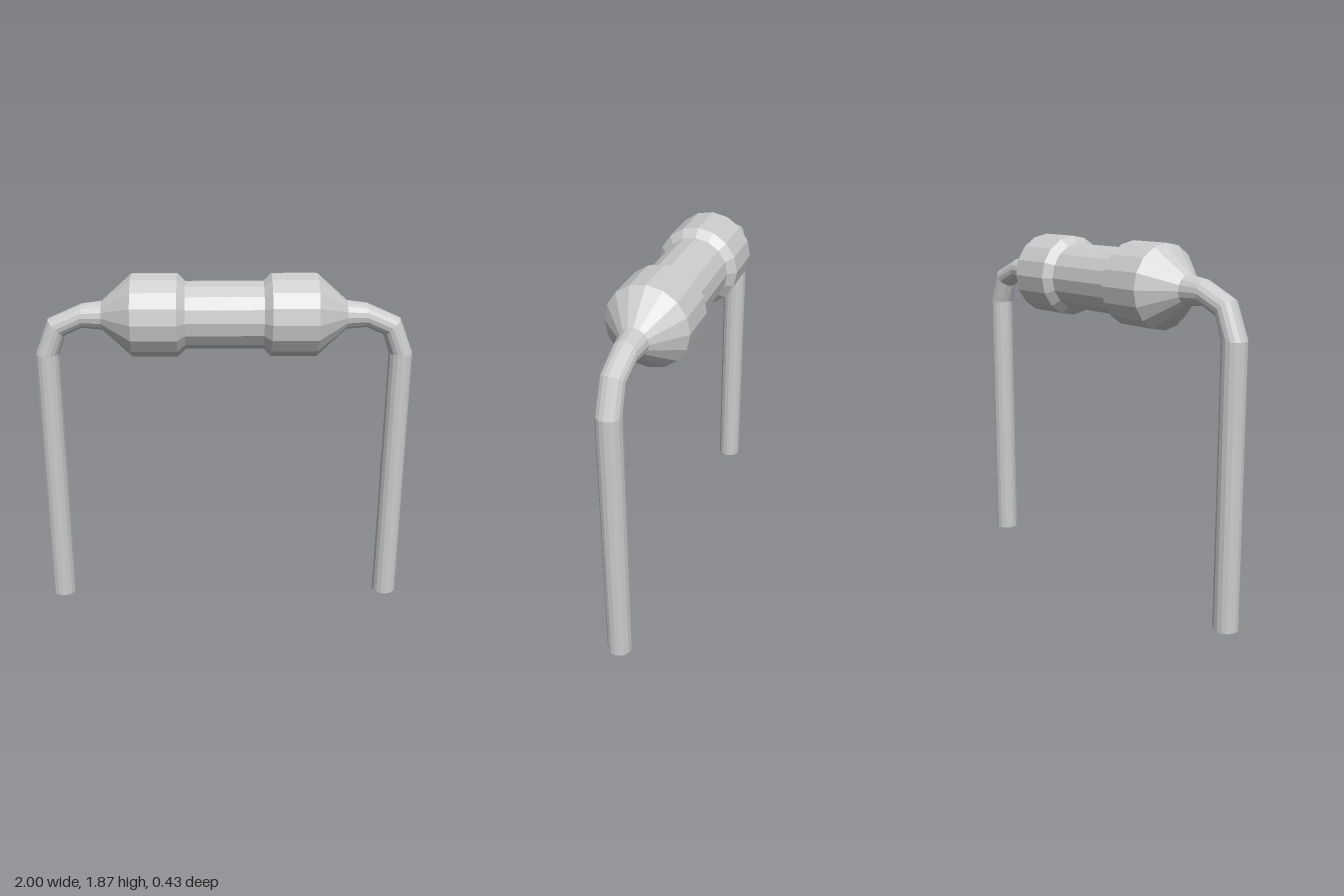
import * as THREE from 'three';

const SIDES = 16;
const AXIS_Y = 1.655;
const material = new THREE.MeshStandardMaterial({ color: 0xcccccc, flatShading: true });

// Skin a row of elliptical rings, each given by its outer and inner point and half depth
function sweepRings(rings) {
  const positions = [];
  const index = [];
  for (const [ox, oy, ix, iy, depth] of rings) {
    const cx = (ox + ix) / 2, cy = (oy + iy) / 2;
    for (let j = 0; j < SIDES; j++) {
      const a = (j / SIDES) * Math.PI * 2;
      positions.push(cx + (ox - cx) * Math.cos(a), cy + (oy - cy) * Math.cos(a), depth * Math.sin(a));
    }
  }
  for (let i = 0; i < rings.length - 1; i++) {
    for (let j = 0; j < SIDES; j++) {
      const k = (j + 1) % SIDES;
      const a = i * SIDES + j, b = i * SIDES + k;
      const c = a + SIDES, d = b + SIDES;
      index.push(a, c, b, b, c, d);
    }
  }
  // Flat cap on the foot
  for (let j = 1; j < SIDES - 1; j++) index.push(0, j, j + 1);
  const geometry = new THREE.BufferGeometry();
  geometry.setAttribute('position', new THREE.Float32BufferAttribute(positions, 3));
  geometry.setIndex(index);
  geometry.computeVertexNormals();
  return geometry;
}

export function createModel() {
  const group = new THREE.Group();
  group.name = 'resistor';

  // Body: a slim barrel between two bulging, tapered ends
  const half = [[0.2, 0.175], [0.24, 0.215], [0.473, 0.215], [0.63, 0.075]];
  const profile = [
    ...half.slice().reverse().map(([x, r]) => new THREE.Vector2(r, -x)),
    ...half.map(([x, r]) => new THREE.Vector2(r, x)),
  ];
  const bodyGeometry = new THREE.LatheGeometry(profile, SIDES);
  bodyGeometry.rotateZ(-Math.PI / 2);
  const body = new THREE.Mesh(bodyGeometry, material);
  body.name = 'body';
  body.position.y = AXIS_Y;
  group.add(body);

  // Bent wire legs, from the foot up to the body
  const legGeometry = sweepRings([
    [1.0, 0, 0.868, 0, 0.064],
    [0.988, 1.45, 0.864, 1.45, 0.064],
    [0.912, 1.638, 0.828, 1.549, 0.062],
    [0.735, 1.716, 0.735, 1.59, 0.064],
    [0.63, 1.73, 0.63, 1.58, 0.075],
  ]);
  for (const [name, turn] of [['leftLeg', 0], ['rightLeg', Math.PI]]) {
    const leg = new THREE.Mesh(legGeometry, material);
    leg.name = name;
    leg.rotation.y = turn;
    group.add(leg);
  }
  return group;
}
